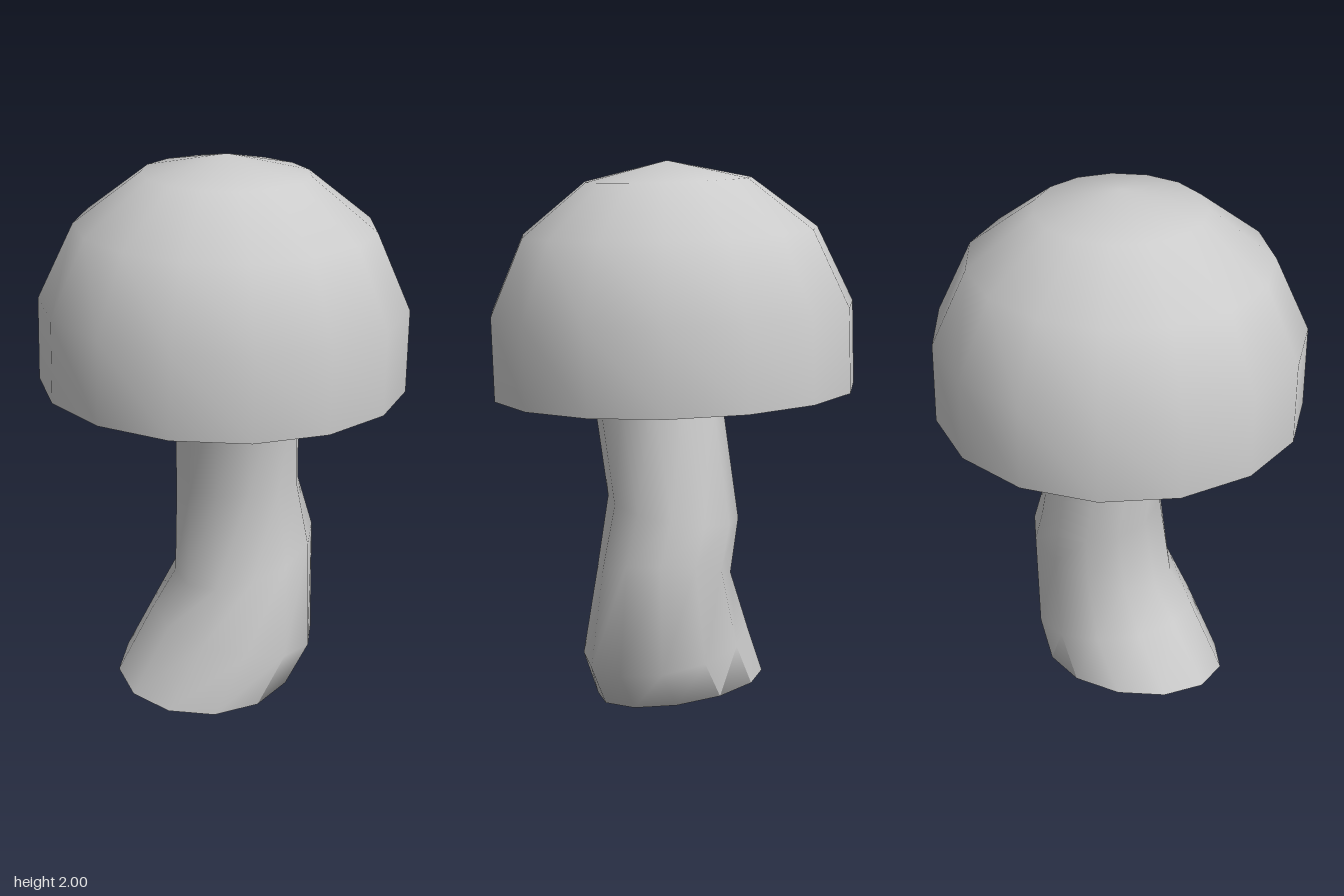
import * as THREE from 'three';
import { toCreasedNormals } from 'three/addons/utils/BufferGeometryUtils.js';

const SIDES = 12;

// Closed skin through tilted elliptical rings, listed bottom to top.
// Each ring's height follows the plane y + sx * x + sz * z.
function loft(rings) {
  const pos = [], idx = [];
  for (const { cx, cz, rx, rz, y, sx, sz } of rings) {
    for (let i = 0; i < SIDES; i++) {
      const a = (i / SIDES) * Math.PI * 2;
      const x = cx + rx * Math.cos(a), z = cz + rz * Math.sin(a);
      pos.push(x, y + sx * x + sz * z, z);
    }
  }
  for (const { cx, cz, y, sx, sz } of [rings[0], rings[rings.length - 1]]) {
    pos.push(cx, y + sx * cx + sz * cz, cz);
  }
  const last = (rings.length - 1) * SIDES;
  const bottom = rings.length * SIDES, top = bottom + 1;
  for (let i = 0; i < SIDES; i++) {
    const j = (i + 1) % SIDES;
    for (let r = 0; r < last; r += SIDES) {
      idx.push(r + i, r + SIDES + i, r + j, r + j, r + SIDES + i, r + SIDES + j);
    }
    idx.push(bottom, i, j, top, last + j, last + i);
  }
  const geo = new THREE.BufferGeometry();
  geo.setAttribute('position', new THREE.Float32BufferAttribute(pos, 3));
  geo.setIndex(idx);
  return geo;
}

export function createModel() {
  const group = new THREE.Group();
  const material = new THREE.MeshStandardMaterial({ color: 0xcccccc });

  // Crooked stem with a flared foot
  const stem = new THREE.Mesh(toCreasedNormals(loft([
    { cx: -0.07, cz: -0.02, rx: 0.34, rz: 0.31, y: 0.05, sx: 0.06, sz: -0.155 },
    { cx: 0.02, cz: 0.03, rx: 0.3, rz: 0.305, y: 0.245, sx: -0.135, sz: -0.165 },
    { cx: 0.07, cz: 0.035, rx: 0.265, rz: 0.245, y: 0.49, sx: 0.32, sz: 0 },
    { cx: 0.068, cz: 0, rx: 0.225, rz: 0.237, y: 0.76, sx: -0.05, sz: 0.17 },
    { cx: 0.01, cz: 0.065, rx: 0.222, rz: 0.232, y: 1.2, sx: 0, sz: -0.03 },
  ]), 1.4), material);
  stem.name = 'stem';

  // Domed cap with a flat underside, tipped slightly forward
  const profile = [[0, 0], [0.66, 0], [0.66, 0.3], [0.535, 0.572], [0.3, 0.755], [0, 0.822]]
    .map(([r, y]) => new THREE.Vector2(r, y));
  const dome = new THREE.LatheGeometry(profile, 15, Math.PI / 2);
  const cap = new THREE.Mesh(toCreasedNormals(dome, 0.9), material);
  cap.name = 'cap';
  cap.position.set(-0.003, 1.178, 0);
  cap.rotation.x = 0.03;

  group.add(stem, cap);
  return group;
}
